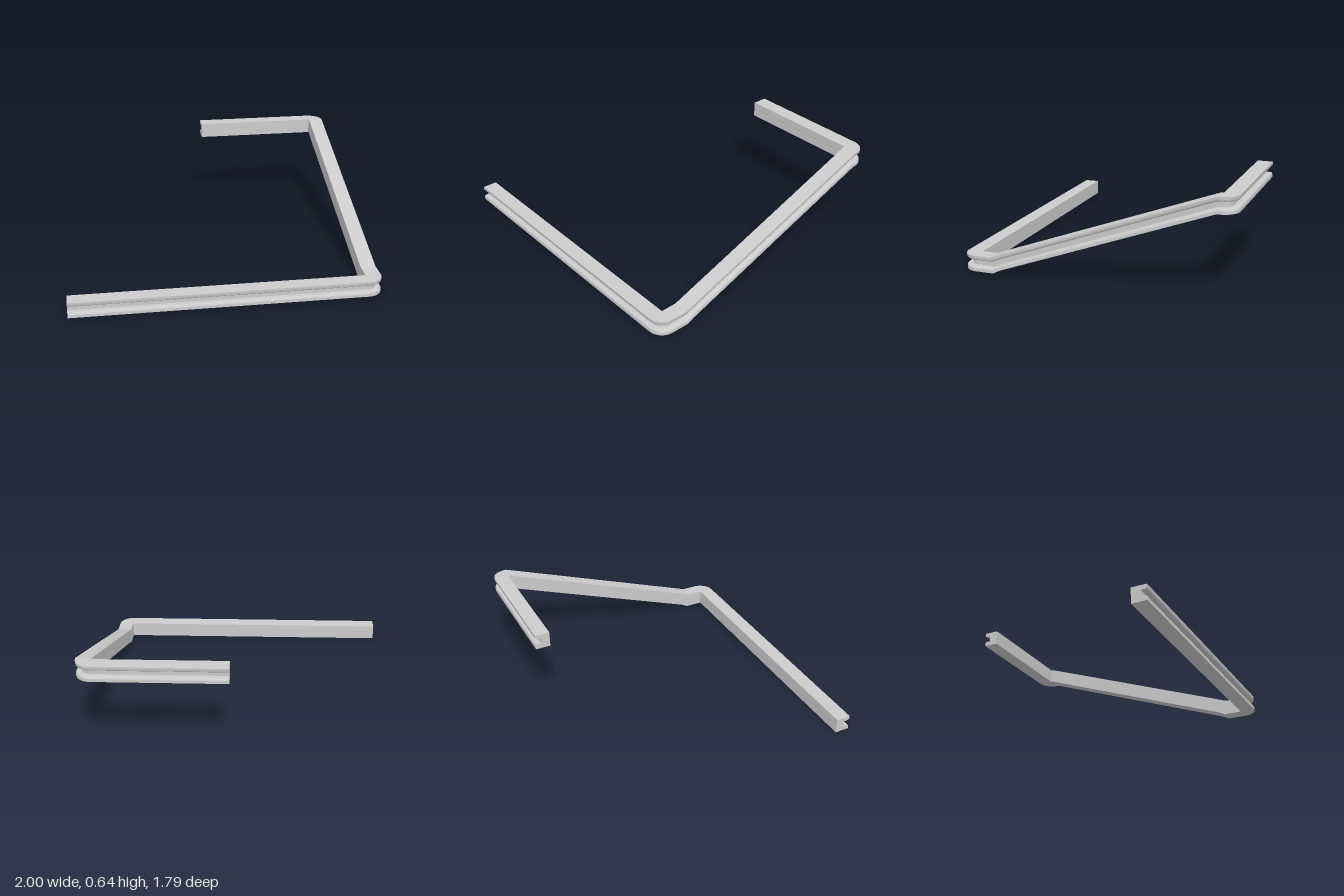
import * as THREE from 'three';
import { toCreasedNormals } from 'three/addons/utils/BufferGeometryUtils.js';

const W = 0.1, H = 0.103;            // rail width and height
const INNER = 0.895, DEPTH = 0.795;  // inner corner position in x and z
const RISE = 0.54;                   // climb from the front rail to the back rail

// Grooved cross-section: u runs outward from the inner wall, v upward
function railProfile() {
  const lip = 0.015, floor = 0.06, lo = 0.033, hi = 0.073;
  const s = new THREE.Shape();
  s.moveTo(0, 0);
  s.lineTo(W, 0);
  s.lineTo(W, lo - lip);
  s.absarc(W - lip, lo - lip, lip, 0, Math.PI / 2, false);
  s.lineTo(floor, lo);
  s.lineTo(floor, hi);
  s.lineTo(W - lip, hi);
  s.absarc(W - lip, hi + lip, lip, -Math.PI / 2, 0, false);
  s.lineTo(W, H);
  s.lineTo(0, H);
  const pts = s.getPoints(5);
  return pts.filter((p, i) => p.distanceTo(pts[(i + 1) % pts.length]) > 1e-5);
}

// Path along the inner wall: position, outward angle (0 = +x), base height, height scale
function railStations() {
  const list = [];
  const add = (x, z, angle, y, scale = 1) => list.push({ x, z, angle, y, scale });
  const corner = (z, from, to, y) => {
    for (let i = 0; i <= 10; i++) add(INNER, z, from + (to - from) * i / 10, y);
  };
  const q = Math.PI / 2, z0 = 0.69, z1 = -0.78;
  const climb = z => RISE * (z0 - z) / (z0 - z1);
  add(-1, DEPTH, q, 0);
  corner(DEPTH, q, 0, 0);
  add(INNER, z0, 0, 0);
  add(INNER, 0.672, 0, 0, 1 + climb(0.672) / H);
  add(INNER, 0.625, 0, climb(0.625));
  add(INNER, z1, 0, RISE);
  corner(-DEPTH, 0, -q, RISE);
  add(0.055, -DEPTH, -q, RISE);
  return list;
}

// Skin the profile through all stations and close both ends
function sweep(profile, stations) {
  const rings = stations.map(s => profile.map(p => new THREE.Vector3(
    s.x + p.x * Math.cos(s.angle), s.y + p.y * s.scale, s.z + p.x * Math.sin(s.angle))));
  const out = [];
  const tri = (a, b, c) => {
    const area = b.clone().sub(a).cross(c.clone().sub(a)).length();
    if (area > 1e-9) out.push(...a.toArray(), ...b.toArray(), ...c.toArray());
  };
  const n = profile.length;
  for (let i = 0; i < rings.length - 1; i++) {
    for (let j = 0; j < n; j++) {
      const k = (j + 1) % n, r = rings[i], t = rings[i + 1];
      tri(r[j], t[k], r[k]);
      tri(r[j], t[j], t[k]);
    }
  }
  const first = rings[0], last = rings[rings.length - 1];
  for (const [a, b, c] of THREE.ShapeUtils.triangulateShape(profile, [])) {
    tri(first[a], first[b], first[c]);
    tri(last[a], last[c], last[b]);
  }
  const g = new THREE.BufferGeometry();
  g.setAttribute('position', new THREE.Float32BufferAttribute(out, 3));
  return toCreasedNormals(g, 0.5);
}

export function createModel() {
  const group = new THREE.Group();
  group.name = 'bentGroovedRail';
  const material = new THREE.MeshStandardMaterial({ color: 0xcccccc, side: THREE.DoubleSide });
  const rail = new THREE.Mesh(sweep(railProfile(), railStations()), material);
  rail.name = 'rail';
  group.add(rail);
  return group;
}
